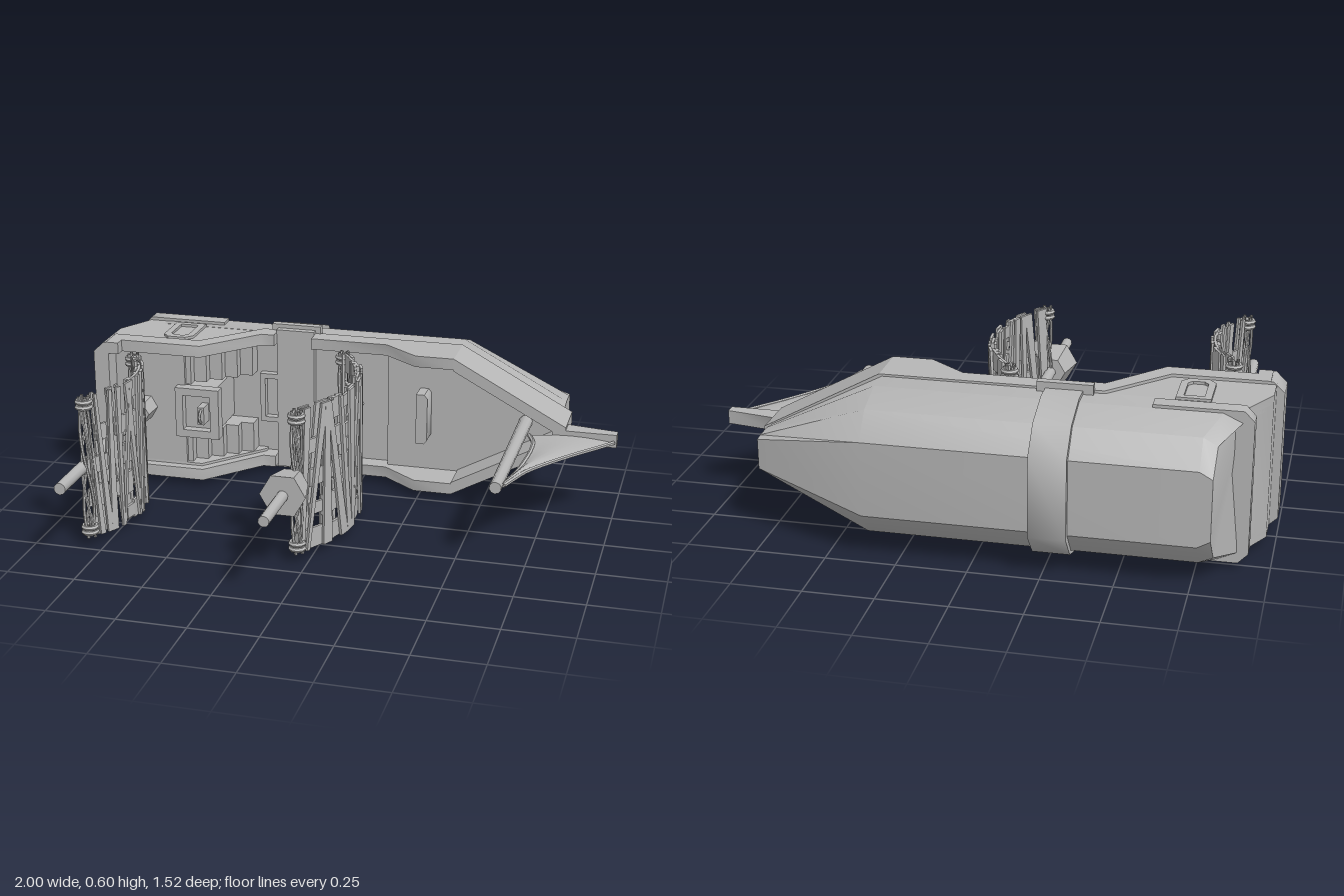
import * as THREE from 'three';
import { toCreasedNormals } from 'three/addons/utils/BufferGeometryUtils.js';

const C = 0.302; // height of the ship's centre plane (the ship lies on its side, masts along +z)

export function createModel() {
  const root = new THREE.Group();
  const grey = new THREE.MeshStandardMaterial({ color: 0xb6b6b6, side: THREE.DoubleSide });
  grey.name = 'plain grey';

  let seed = 11;
  const rnd = () => (seed = (seed * 16807) % 2147483647) / 2147483647;

  const add = (name, geo, parent = root) => {
    const m = new THREE.Mesh(toCreasedNormals(geo, 0.85), grey);
    m.name = name;
    parent.add(m);
  };
  // box from extents, y measured from the centre plane
  const box = (name, x0, x1, y0, y1, z0, z1) =>
    add(name, new THREE.BoxGeometry(x1 - x0, y1 - y0, z1 - z0)
      .translate((x0 + x1) / 2, C + (y0 + y1) / 2, (z0 + z1) / 2));
  const shapeOf = pts => new THREE.Shape(pts.map(p => new THREE.Vector2(p[0], p[1])));
  // x-z outline pushed along y
  const sidePrism = (name, pts, y0, y1, hole) => {
    const s = shapeOf(pts.map(p => [p[0], -p[1]]));
    if (hole) s.holes.push(shapeOf(hole.map(p => [p[0], -p[1]])));
    const g = new THREE.ExtrudeGeometry(s, { depth: y1 - y0, bevelEnabled: false });
    add(name, g.rotateX(-Math.PI / 2).translate(0, C + y0, 0));
  };
  const bothSides = (name, pts, y0, y1, hole) => {
    sidePrism(name, pts, y0, y1, hole);
    sidePrism(name, pts, -y1, -y0, hole);
  };
  // x-y outline pushed along z
  const planPrism = (name, pts, z0, z1, hole) => {
    const s = shapeOf(pts);
    if (hole) s.holes.push(shapeOf(hole));
    add(name, new THREE.ExtrudeGeometry(s, { depth: z1 - z0, bevelEnabled: false }).translate(0, C, z0));
  };
  const rect = (x0, x1, h) => [[x0, -h], [x1, -h], [x1, h], [x0, h]];
  const rodZ = (name, x, z0, z1, r0, r1, n) =>
    add(name, new THREE.CylinderGeometry(r1, r0, z1 - z0, n).rotateX(Math.PI / 2)
      .rotateZ(Math.PI / 6).translate(x, C, (z0 + z1) / 2));

  // Hull: sections lofted from stern to bow, each point is [x, half width, z]
  const half = [
    [[-0.885, 0.235, -0.44], [-0.885, 0.235, -0.54], [-0.82, 0.2, -0.665], [-0.815, 0.11, -0.735]],
    [[-0.82, 0.265, -0.44], [-0.82, 0.265, -0.54], [-0.77, 0.225, -0.66], [-0.77, 0.135, -0.735]],
    [[0.37, 0.265, -0.44], [0.37, 0.265, -0.54], [0.37, 0.225, -0.66], [0.37, 0.135, -0.735]],
    [[0.78, 0.05, -0.44], [0.78, 0.06, -0.5], [0.78, 0.06, -0.57], [0.78, 0.055, -0.6]]];
  const pos = [], idx = [];
  half.forEach(s => {
    s.forEach(p => pos.push(p[0], C + p[1], p[2]));
    [...s].reverse().forEach(p => pos.push(p[0], C - p[1], p[2]));
  });
  for (let s = 0; s < 3; s++) for (let i = 0; i < 8; i++) {
    const a = s * 8 + i, b = s * 8 + (i + 1) % 8;
    idx.push(a, a + 8, b, b, a + 8, b + 8);
  }
  for (let i = 1; i < 7; i++) idx.push(0, i, i + 1, 24, 25 + i, 24 + i);
  const hull = new THREE.BufferGeometry();
  hull.setAttribute('position', new THREE.Float32BufferAttribute(pos, 3));
  hull.setIndex(idx);
  root.add(new THREE.Mesh(toCreasedNormals(hull, 0.6), grey));
  root.children[0].name = 'hull';

  // Strap round the hull with side clamps and a deck beam
  const strap = [[0.278, -0.43], [0.278, -0.54], [0.235, -0.675], [0.145, -0.757]];
  const ring = [...strap, ...[...strap].reverse().map(p => [-p[0], p[1]])];
  add('hullStrap', new THREE.ExtrudeGeometry(shapeOf(ring.map(p => [p[1], p[0]])), { depth: 0.13, bevelEnabled: false })
    .applyMatrix4(new THREE.Matrix4().set(0, 0, 1, -0.34, 0, 1, 0, C, 1, 0, 0, 0, 0, 0, 0, 1)));
  for (const s of [-0.27, 0.27]) box('strapClamp', -0.375, -0.18, s - 0.03, s + 0.03, -0.468, -0.438);
  box('deckBeam', -0.35, -0.2, -0.285, 0.285, -0.445, -0.41);

  // Gunwales: midship sides and the pointed bow rim
  bothSides('midGunwale', [[-0.2, -0.445], [0.38, -0.445], [0.38, -0.265], [0.235, -0.265], [0.1, -0.37], [-0.2, -0.37]], 0.23, 0.273);
  planPrism('bowRim', [[0.38, -0.273], [0.81, -0.04], [0.81, 0.04], [0.38, 0.273],
    [0.38, 0.225], [0.76, 0.02], [0.76, -0.02], [0.38, -0.225]], -0.445, -0.265);
  planPrism('bowDeck', [[0.1, -0.235], [0.38, -0.235], [0.77, -0.03], [0.77, 0.03], [0.38, 0.235], [0.1, 0.235]], -0.44, -0.4);
  planPrism('foreStep', [[0.228, -0.1], [0.26, -0.1], [0.272, -0.085], [0.272, 0.085], [0.26, 0.1], [0.228, 0.1]], -0.4, -0.32);

  // Stern castle: side walls, rail, deck and rear rim
  bothSides('sternWall', [[-0.89, -0.48], [-0.97, -0.335], [-0.97, -0.2], [-0.6, -0.2], [-0.4, -0.42], [-0.4, -0.48]], 0.22, 0.264);
  bothSides('sternRail', [[-0.95, -0.235], [-0.95, -0.125], [-0.9, -0.125], [-0.9, -0.165], [-0.585, -0.165],
    [-0.4, -0.37], [-0.35, -0.37], [-0.35, -0.445], [-0.41, -0.445], [-0.61, -0.235]], 0.23, 0.275);
  planPrism('sternRim', [[-1, -0.235], [-0.96, -0.273], [-0.94, -0.273], [-0.94, 0.273], [-0.96, 0.273], [-1, 0.235]], -0.235, -0.125);
  sidePrism('sternCastle', [[-0.89, -0.48], [-0.97, -0.335], [-0.97, -0.2], [-0.66, -0.2], [-0.66, -0.48]], -0.235, 0.235);
  bothSides('sideLedge', [[-0.8, -0.535], [-0.8, -0.475], [-0.585, -0.475], [-0.585, -0.535]], 0.23, 0.276);
  planPrism('sternLedge', [[-0.925, -0.24], [-0.89, -0.276], [-0.8, -0.276], [-0.8, 0.276], [-0.89, 0.276], [-0.925, 0.24]], -0.535, -0.475);
  bothSides('sideWindowFrame', [[-0.77, -0.445], [-0.65, -0.445], [-0.65, -0.29], [-0.675, -0.26], [-0.745, -0.26], [-0.77, -0.29]], 0.25, 0.274,
    [[-0.745, -0.42], [-0.675, -0.42], [-0.675, -0.305], [-0.69, -0.287], [-0.73, -0.287], [-0.745, -0.305]]);

  // Stairs down to the main deck on both sides of the helm
  for (let i = 0; i < 5; i++)
    for (const s of [-1, 1])
      box('stair', -0.68, -0.64 + i * 0.05, s > 0 ? 0.1 : -0.225, s > 0 ? 0.225 : -0.1, -0.44, -0.215 - i * 0.04);

  // Helm cabin with a raised frame and a small wheel
  box('helmCabin', -0.68, -0.54, -0.09, 0.09, -0.44, -0.2);
  planPrism('helmFrame', rect(-0.69, -0.515, 0.1), -0.21, -0.165, rect(-0.66, -0.55, 0.07));
  box('helmPost', -0.592, -0.566, -0.035, 0.035, -0.2, -0.14);
  add('helmWheel', new THREE.TorusGeometry(0.025, 0.006, 5, 10).rotateY(Math.PI / 2).translate(-0.578, C, -0.145));

  // Cargo hatch
  planPrism('hatchFrame', rect(-0.42, -0.2, 0.1), -0.44, -0.41, rect(-0.4, -0.225, 0.08));

  // Masts, hexagonal collars and lookout basket
  rodZ('mizzenMast', -0.82, -0.21, 0.67, 0.024, 0.022, 10);
  rodZ('mizzenCollar', -0.825, -0.21, -0.11, 0.05, 0.046, 6);
  rodZ('mainMast', -0.055, -0.44, 0.76, 0.023, 0.02, 10);
  rodZ('mainCollar', -0.055, -0.44, -0.325, 0.05, 0.046, 6);
  rodZ('lookoutBasket', -0.055, 0.41, 0.535, 0.058, 0.083, 6);
  rodZ('foreMast', 0.64, -0.41, 0.28, 0.026, 0.022, 10);

  // Tattered square sails: ragged slats and cross bands on a bulging curve, with roped yards
  const sail = (name, pts) => {
    const g = new THREE.Group();
    g.name = name;
    root.add(g);
    const curve = new THREE.CatmullRomCurve3(pts.map(p => new THREE.Vector3(p[0], 0, p[1])));
    const verts = [];
    const at = (u, v, d) => {
      u = Math.min(1, Math.max(0, u));
      const p = curve.getPointAt(u), t = curve.getTangentAt(u);
      return [p.x + t.z * d, C + v, p.z - t.x * d];
    };
    // thick strip over four [u, v] corners, between offsets d0 and d1
    const strip = (corners, d0, d1) => {
      const lo = corners.map(c => at(c[0], c[1], d0)), hi = corners.map(c => at(c[0], c[1], d1));
      const quad = (a, b, c, d) => verts.push(...a, ...b, ...c, ...a, ...c, ...d);
      quad(...hi);
      quad(...[...lo].reverse());
      for (let i = 0; i < 4; i++) quad(lo[i], lo[(i + 1) % 4], hi[(i + 1) % 4], hi[i]);
    };
    // two layers of slats, leaning at random and tapering to one end
    for (const d of [-0.016, 0.006])
      for (let i = 0; i < 13; i++) {
        const u = (i + 0.5) / 13, w = 0.02 + rnd() * 0.014, tilt = (rnd() - 0.5) * 0.13;
        const a = rnd() < 0.5 ? w : w * 0.45, b = w * 1.45 - a;
        strip([[u - a - tilt, -0.27], [u + a - tilt, -0.27], [u + b + tilt, 0.27], [u - b + tilt, 0.27]], d, d + 0.01);
      }
    // broken cross bands
    for (const v of [-0.235, -0.12, 0, 0.12, 0.235])
      for (let i = 0; i < 12; i++) {
        if (rnd() < 0.2) continue;
        const h = 0.022 + rnd() * 0.02, a = i / 12, b = (i + 1) / 12;
        const lo = Math.max(-0.27, v - h), hi = Math.min(0.27, v + h);
        strip([[a, lo], [b, lo], [b, hi], [a, hi]], -0.005, 0.005);
      }
    const cloth = new THREE.BufferGeometry();
    cloth.setAttribute('position', new THREE.Float32BufferAttribute(verts, 3));
    add('sailCloth', cloth, g);
    for (const [x, z] of [pts[0], pts[pts.length - 1]]) {
      for (let s = 0; s < 4; s++) {
        const strand = [];
        for (let i = 0; i <= 8; i++) {
          const a = s * Math.PI / 2 + i * 0.7;
          strand.push(new THREE.Vector3(x + 0.018 * Math.cos(a), C - 0.27 + i * 0.0675, z + 0.018 * Math.sin(a)));
        }
        add('yardStrand', new THREE.TubeGeometry(new THREE.CatmullRomCurve3(strand), 24, 0.006, 6), g);
      }
      for (const y of [-0.25, -0.23, 0.23, 0.25])
        add('yardKnot', new THREE.TorusGeometry(0.024, 0.009, 6, 10).rotateX(Math.PI / 2).translate(x, C + y, z), g);
    }
  };
  sail('mainSail', [[-0.04, -0.255], [0.055, -0.1], [0.08, 0.07], [0.055, 0.23], [-0.04, 0.405]]);
  sail('mizzenSail', [[-0.805, -0.04], [-0.735, 0.08], [-0.712, 0.2], [-0.735, 0.33], [-0.805, 0.455]]);

  // Bowsprit
  sidePrism('bowsprit', [[0.77, -0.4], [0.81, -0.337], [1, -0.305], [1, -0.265], [0.77, -0.265]], -0.022, 0.028);

  // Triangular head sail between bowsprit tip and foremast, rows of [z, inner x, outer x]
  const rows = [[-0.26, 0.675, 0.99], [-0.19, 0.7, 0.935], [-0.1, 0.705, 0.86], [0, 0.7, 0.785], [0.1, 0.69, 0.72], [0.19, 0.672, 0.685], [0.25, 0.66, 0.664]];
  const jib = new THREE.PlaneGeometry(1, 1, 6, rows.length - 1), jp = jib.attributes.position;
  for (let i = 0; i < jp.count; i++) {
    const [z, a, b] = rows[Math.floor(i / 7)], t = (i % 7) / 6;
    jp.setXYZ(i, a + (b - a) * t, C + 0.012 * Math.sin(Math.PI * t), z);
  }
  add('headSail', jib);
  for (const k of [1, 2])
    add('headSailEdge', new THREE.TubeGeometry(new THREE.CatmullRomCurve3(
      rows.map(r => new THREE.Vector3(r[k], C, r[0]))), 20, 0.008, 6));
  return root;
}
